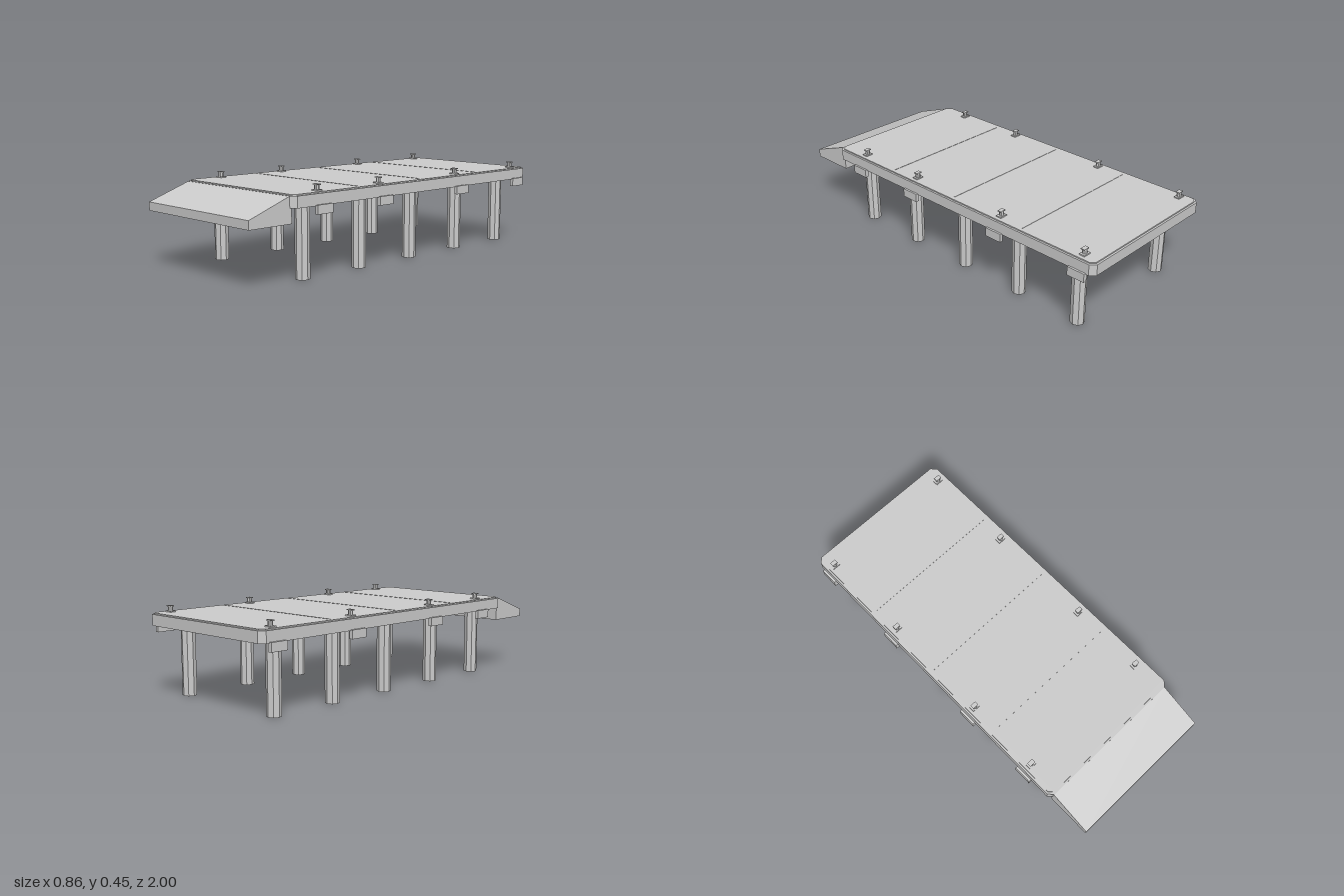
import * as THREE from 'three';

export function createModel() {
  const model = new THREE.Group();
  model.name = 'pier';
  const concrete = new THREE.MeshStandardMaterial({ color: 0xcccccc, flatShading: true });
  concrete.name = 'concrete grey';

  const add = (name, geometry, x = 0, y = 0, z = 0, parent = model) => {
    const mesh = new THREE.Mesh(geometry, concrete);
    mesh.name = name;
    mesh.position.set(x, y, z);
    parent.add(mesh);
    return mesh;
  };

  // Horizontal slab with chamfered corners, from y0 to y1
  const slab = (halfX, zBack, zFront, chamfer, y0, y1) => {
    const a = halfX, c = chamfer;
    const shape = new THREE.Shape([
      [-a + c, -zFront], [a - c, -zFront], [a, -zFront + c], [a, -zBack - c],
      [a - c, -zBack], [-a + c, -zBack], [-a, -zBack - c], [-a, -zFront + c],
    ].map(([x, y]) => new THREE.Vector2(x, y)));
    return new THREE.ExtrudeGeometry(shape, { depth: y1 - y0, bevelEnabled: false })
      .rotateX(-Math.PI / 2).translate(0, y0, 0);
  };

  // Deck and its slightly inset surface
  add('deck', slab(0.42, -1, 0.77, 0.026, 0.356, 0.412));
  add('deckSurface', slab(0.41, -0.99, 0.76, 0.022, 0.412, 0.418));

  // Thin joints across the deck
  for (const z of [0.335, -0.11, -0.56]) {
    add('deckJoint', new THREE.BoxGeometry(0.78, 0.002, 0.004), 0, 0.4185, z);
  }

  // Sloped ramp at the front, profile drawn as (-z, y)
  const profile = new THREE.Shape([
    [-1, 0.285], [-0.758, 0.285], [-0.758, 0.411], [-0.77, 0.411], [-1, 0.328],
  ].map(([x, y]) => new THREE.Vector2(x, y)));
  add('ramp', new THREE.ExtrudeGeometry(profile, { depth: 0.794, bevelEnabled: false })
    .translate(0, 0, -0.397).rotateY(Math.PI / 2), -0.002);

  // Two rows of octagonal piles
  const pile = new THREE.CylinderGeometry(0.036, 0.036, 0.358, 8);
  for (let i = 0; i < 5; i++) {
    for (const x of [-0.319, 0.316]) add('pile', pile, x, 0.179, 0.628 - i * 0.369);
  }

  // Mooring bollards on the deck with fenders below them on the sides
  const fender = new THREE.BoxGeometry(0.019, 0.044, 0.095);
  const base = new THREE.BoxGeometry(0.042, 0.007, 0.03);
  const post = new THREE.CylinderGeometry(0.012, 0.012, 0.026, 8);
  const cap = new THREE.BoxGeometry(0.032, 0.005, 0.022);
  for (const z of [-0.91, -0.41, 0.178, 0.584]) {
    for (const side of [-1, 1]) {
      add('fender', fender, side * 0.422 - 0.001, 0.339, z);
      const bollard = new THREE.Group();
      bollard.name = 'bollard';
      bollard.position.set(side * 0.372 - 0.002, 0.417, z);
      add('bollardBase', base, 0, 0.0035, 0, bollard);
      add('bollardPost', post, 0, 0.017, 0, bollard);
      add('bollardCap', cap, 0, 0.0305, 0, bollard);
      model.add(bollard);
    }
  }
  return model;
}
